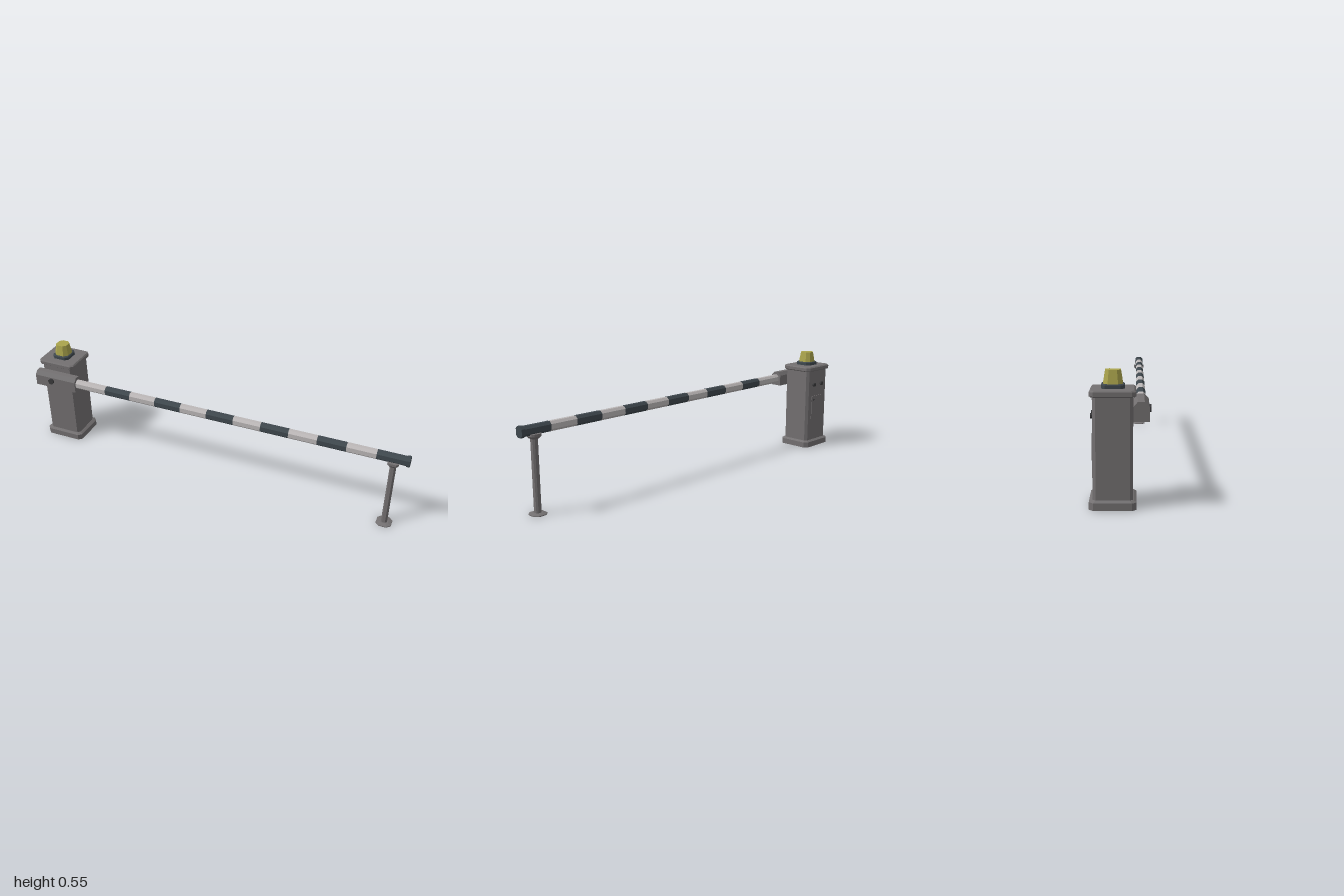
import * as THREE from 'three';

const mat = (name, color) => {
  const m = new THREE.MeshStandardMaterial({ color });
  m.name = name;
  return m;
};

// Prism with cut corners, lofted along y through sections [y, halfX, halfZ, cornerCut]
function loft(sections) {
  const rings = sections.map(([y, w, d, c]) => [
    [w, -d + c], [w, d - c], [w - c, d], [-w + c, d],
    [-w, d - c], [-w, -d + c], [-w + c, -d], [w - c, -d],
  ].map(([x, z]) => [x, y, z]));
  const pos = [];
  const tri = (...pts) => pts.forEach((p) => pos.push(...p));
  const last = rings.length - 1;
  for (let i = 0; i < 8; i++) {
    const j = (i + 1) % 8;
    for (let r = 0; r < last; r++) {
      const lo = rings[r], up = rings[r + 1];
      tri(lo[i], up[i], lo[j]);
      tri(lo[j], up[i], up[j]);
    }
    tri([0, sections[0][0], 0], rings[0][i], rings[0][j]);
    tri([0, sections[last][0], 0], rings[last][j], rings[last][i]);
  }
  const g = new THREE.BufferGeometry();
  g.setAttribute('position', new THREE.Float32BufferAttribute(pos, 3));
  g.computeVertexNormals();
  return g;
}

export function createModel() {
  const grey = mat('greyMetal', 0x737071);
  const dark = mat('darkSlate', 0x3f484e);
  const white = mat('whiteStripe', 0xbcb8b8);
  const amber = mat('yellowLamp', 0xaaa44c);
  const black = mat('blackFitting', 0x3a3a3c);
  for (const m of [grey, dark, white, amber, black]) m.flatShading = true;

  const model = new THREE.Group();
  model.name = 'barrierGate';
  const add = (name, geometry, material, x = 0, y = 0, z = 0, parent = model) => {
    const mesh = new THREE.Mesh(geometry, material);
    mesh.name = name;
    mesh.position.set(x, y, z);
    parent.add(mesh);
    return mesh;
  };

  // Cabinet
  const cabinet = new THREE.Group();
  cabinet.name = 'cabinet';
  cabinet.position.set(-0.893, 0, -0.0275);
  model.add(cabinet);
  const part = (name, geometry, material, x, y, z) => add(name, geometry, material, x, y, z, cabinet);
  part('plinth', loft([[0, 0.107, 0.094, 0.018], [0.03, 0.107, 0.094, 0.018], [0.038, 0.094, 0.082, 0.014]]), grey);
  part('body', loft([[0.036, 0.0915, 0.08, 0.013], [0.447, 0.0915, 0.08, 0.013]]), grey);
  part('roof', loft([
    [0.445, 0.098, 0.085, 0.014], [0.45, 0.104, 0.0915, 0.016],
    [0.466, 0.104, 0.0915, 0.016], [0.472, 0.098, 0.085, 0.014],
  ]), grey);

  // Warning lamp
  part('lampMount', loft([[0.472, 0.047, 0.047, 0.016], [0.486, 0.047, 0.047, 0.016], [0.49, 0.043, 0.043, 0.015]]), dark);
  part('lamp', loft([[0.488, 0.04, 0.04, 0.019], [0.545, 0.031, 0.031, 0.015]]), amber);

  // Service door on the side, hatch, lock and buttons on the back
  part('sideDoor', new THREE.BoxGeometry(0.004, 0.33, 0.116), grey, -0.0925, 0.24, 0);
  part('backHatch', new THREE.BoxGeometry(0.104, 0.135, 0.004), grey, 0, 0.23, -0.081);
  const disc = (r, h) => new THREE.CylinderGeometry(r, r, h, 8).rotateY(Math.PI / 8).rotateX(Math.PI / 2);
  part('hatchLock', disc(0.005, 0.004), black, 0.036, 0.277, -0.084);
  for (const s of [-1, 1]) part('button', disc(0.011, 0.012), black, s * 0.035, 0.365, -0.084);

  // Boom holder: profile swept along x
  const profile = new THREE.Shape([
    [-0.116, 0.352], [-0.054, 0.352], [-0.054, 0.41], [-0.07, 0.429], [-0.097, 0.429], [-0.116, 0.41],
  ].map(([x, y]) => new THREE.Vector2(x, y)));
  const holder = new THREE.ExtrudeGeometry(profile, { depth: 0.237, bevelEnabled: false }).rotateY(Math.PI / 2);
  add('boomHolder', holder, grey, -0.988, 0, 0);
  add('pivotBolt', disc(0.0165, 0.012), black, -0.893, 0.39, 0.118);

  // Striped boom
  const bar = (x0, x1, hy, hz) => loft([[x0, hy, hz, 0.0115], [x1, hy, hz, 0.0115]]).rotateZ(-Math.PI / 2);
  const edges = [-0.76];
  for (let k = 0; k <= 10; k++) edges.push(-0.577 + 0.1423 * k);
  edges.push(0.985);
  for (let i = 0; i < edges.length - 1; i++) {
    add('boomStripe', bar(edges[i], edges[i + 1], 0.023, 0.02), i % 2 ? dark : white, 0, 0.39, 0.086);
  }
  add('boomEndCap', bar(0.984, 1, 0.026, 0.0225), dark, 0, 0.39, 0.086);

  // Rest post
  add('postFoot', loft([[0, 0.037, 0.038, 0.018], [0.004, 0.037, 0.038, 0.018], [0.009, 0.02, 0.021, 0.009]]), grey, 0.926, 0, 0.086);
  add('post', loft([[0.005, 0.014, 0.016, 0.007], [0.355, 0.014, 0.016, 0.007]]), grey, 0.926, 0, 0.086);
  add('postSaddle', loft([[0.35, 0.018, 0.022, 0.008], [0.361, 0.026, 0.03, 0.01], [0.373, 0.026, 0.03, 0.01]]), grey, 0.926, 0, 0.086);
  return model;
}
